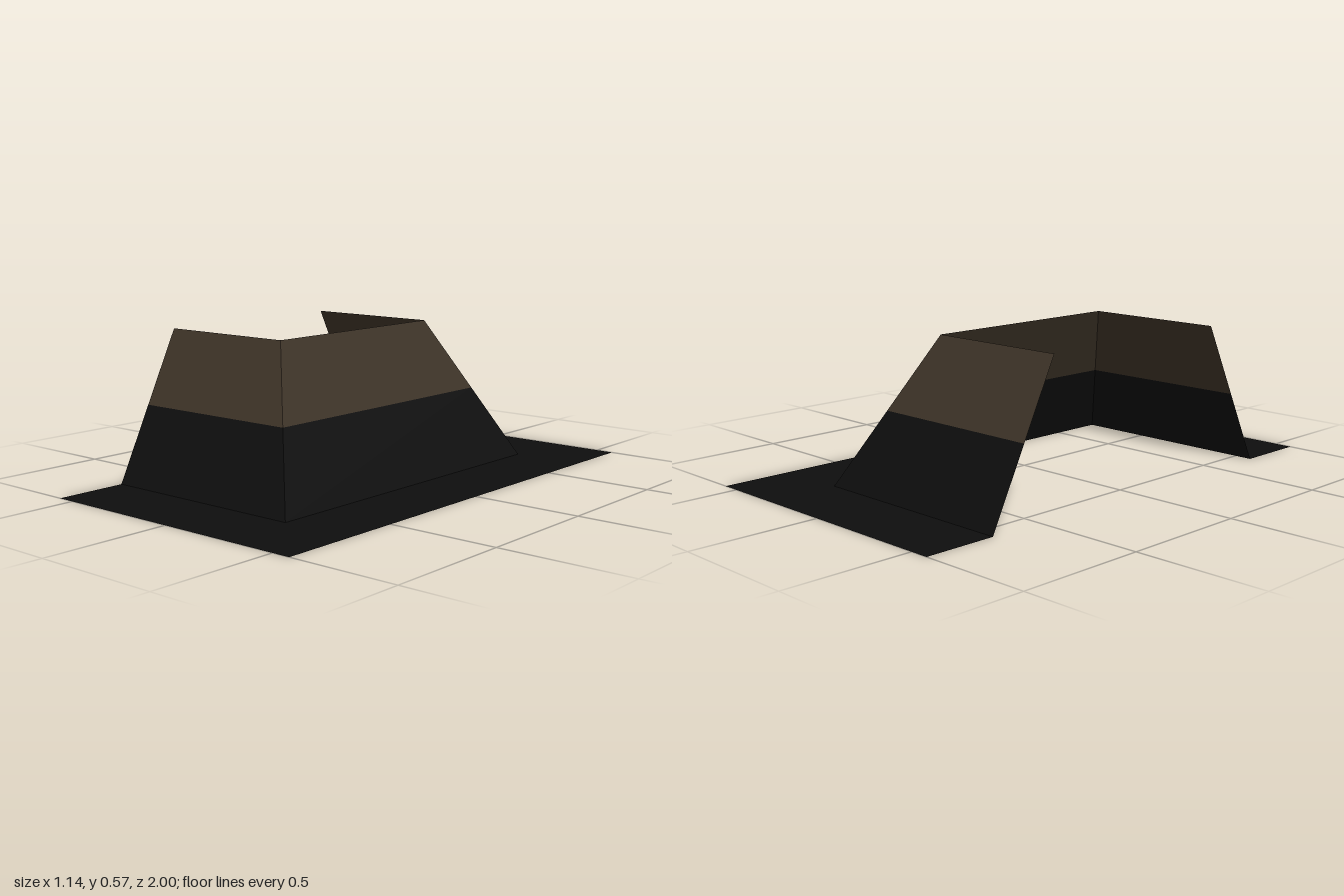
import * as THREE from 'three';

const soot = new THREE.MeshStandardMaterial({ name: 'soot black', color: 0x0e0e0e, side: THREE.DoubleSide });
const brown = new THREE.MeshStandardMaterial({ name: 'dark brown', color: 0x3e3428, side: THREE.DoubleSide });

// U-shaped ring, open towards -x, pushed outwards by d at height y
function ring([d, y]) {
  const z = 0.4286 + d;
  return [[-0.5714, y, z], [d, y, z], [d, y, -z], [-0.5714, y, -z]];
}

// Flat-faced band of three mitred panels between two rings
function band(name, lower, upper, material) {
  const a = ring(lower), b = ring(upper), points = [];
  for (let i = 0; i < 3; i++) {
    points.push(a[i], a[i + 1], b[i + 1], a[i], b[i + 1], b[i]);
  }
  const geometry = new THREE.BufferGeometry();
  geometry.setAttribute('position', new THREE.Float32BufferAttribute(points.flat(), 3));
  geometry.computeVertexNormals();
  const mesh = new THREE.Mesh(geometry, material);
  mesh.name = name;
  return mesh;
}

export function createModel() {
  const group = new THREE.Group();
  group.name = 'slopedSkirting';
  // Profile as [outward offset, height]
  const rim = [0.5714, 0], foot = [0.2857, 0], split = [0.1418, 0.288], top = [0, 0.5714];
  group.add(
    band('groundFlange', rim, foot, soot),
    band('lowerSlope', foot, split, soot),
    band('upperSlope', split, top, brown),
  );
  return group;
}
